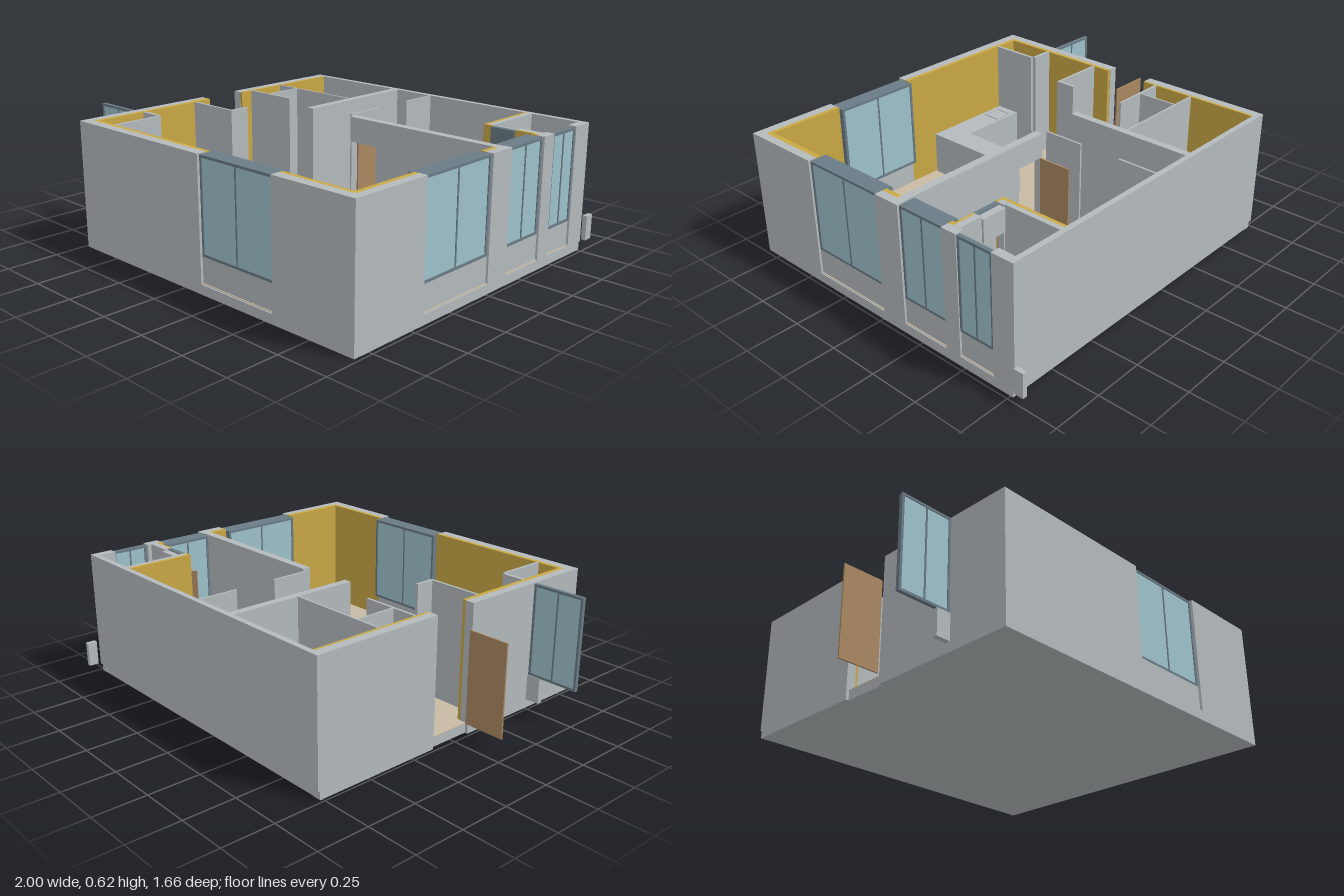
import * as THREE from 'three';

const mat = (name, color) => Object.assign(new THREE.MeshStandardMaterial({ color }), { name });

export function createModel() {
  const root = new THREE.Group();
  root.name = 'apartment';
  const wall = mat('wallGrey', 0xb4babd);
  const floor = mat('floorTan', 0xc8baa4);
  const yellow = mat('wallYellow', 0xc9a845);
  const frame = mat('frameSlate', 0x6b7c86);
  const glass = mat('glassBlue', 0x9ec2cb);
  const wood = mat('doorBrown', 0xa98862);

  const BASE = 0.05, TOP = 0.62, SILL = 0.17, HEAD = 0.615, DOOR = 0.5;

  // Box given by its limits on each axis
  const box = (name, m, x0, x1, y0, y1, z0, z1, parent = root) => {
    const mesh = new THREE.Mesh(new THREE.BoxGeometry(x1 - x0, y1 - y0, z1 - z0), m);
    mesh.position.set((x0 + x1) / 2, (y0 + y1) / 2, (z0 + z1) / 2);
    mesh.name = name;
    parent.add(mesh);
    return mesh;
  };

  // Two-pane window: frame bars, centre bar and panes
  const addWindow = (name, x, z, width, depth, turned) => {
    const g = new THREE.Group();
    g.name = name;
    const w = width / 2, d = depth / 2, t = 0.012;
    box('frameBottom', frame, -w, w, SILL, SILL + t, -d, d, g);
    box('frameTop', frame, -w, w, HEAD - t, HEAD, -d, d, g);
    for (const s of [-1, 1]) {
      const c = s * (w - t / 2);
      box('frameSide', frame, c - t / 2, c + t / 2, SILL + t, HEAD - t, -d, d, g);
      const p = s * w / 2;
      box('pane', glass, p - w / 2 + 0.004, p + w / 2 - 0.004, SILL + t, HEAD - t, -d + 0.004, d - 0.004, g);
    }
    box('frameCentre', frame, -0.004, 0.004, SILL + t, HEAD - t, -d + 0.001, d - 0.001, g);
    g.position.set(x, 0, z);
    if (turned) g.rotation.y = Math.PI / 2;
    root.add(g);
  };

  // Base and floors
  box('baseSlab', wall, -0.72, 0.975, 0, 0.046, -0.76, 0.825);
  box('floor', floor, -0.72, 0.975, 0.046, BASE, -0.76, 0.825);
  box('bathroomFloor', wall, -0.68, -0.175, BASE, 0.056, -0.745, -0.4);
  box('balconyFloor', wall, 0.69, 0.94, BASE, 0.056, -0.745, -0.455);

  // Back and left outer walls, with the entrance gap
  box('backWall', wall, -0.735, 0.98, 0.04, TOP, -0.772, -0.745);
  box('leftWall', wall, -0.735, -0.69, 0, TOP, -0.762, -0.12);
  box('leftWall', wall, -0.735, -0.69, 0, TOP, 0.1, 0.83);

  // Front outer wall around its window
  for (const [x0, x1] of [[-0.735, 0.11], [0.545, 0.98]]) {
    box('frontWall', wall, x0, x1, 0, TOP, 0.785, 0.832);
  }
  box('frontFooting', wall, 0.11, 0.545, 0, 0.046, 0.785, 0.832);
  box('frontSillPanel', wall, 0.11, 0.545, BASE, SILL, 0.765, 0.82);
  addWindow('frontWindow', 0.327, 0.78, 0.435, 0.08, false);

  // Right outer wall around its three windows
  for (const [z0, z1] of [[-0.762, -0.66], [-0.475, -0.395], [-0.145, -0.01], [0.425, 0.785]]) {
    box('rightWall', wall, 0.938, 0.98, 0, TOP, z0, z1);
  }
  for (const [z0, z1, x, depth] of [[-0.01, 0.425, 0.928, 0.083], [-0.395, -0.145, 0.928, 0.083], [-0.66, -0.475, 0.965, 0.02]]) {
    box('rightFooting', wall, 0.938, 0.98, 0, 0.046, z0, z1);
    box('rightSillPanel', wall, 0.925, 0.97, BASE, SILL, z0, z1);
    addWindow('rightWindow', x, (z0 + z1) / 2, z1 - z0, depth, true);
  }

  // Yellow linings
  const lining = (x0, x1, z0, z1) => box('yellowLining', yellow, x0, x1, BASE, TOP, z0, z1);
  lining(-0.692, -0.678, -0.745, -0.19);
  lining(-0.705, -0.678, -0.19, -0.122);
  lining(-0.705, -0.672, 0.102, 0.2);
  lining(-0.692, -0.67, 0.2, 0.785);
  lining(-0.67, 0.11, 0.765, 0.787);
  lining(0.545, 0.938, 0.765, 0.787);
  lining(0.915, 0.94, 0.425, 0.765);
  lining(0.915, 0.94, -0.1, -0.01);
  lining(0.65, 0.667, -0.745, -0.41);
  lining(0.65, 0.695, -0.422, -0.41);
  lining(0.82, 0.94, -0.422, -0.41);
  lining(0.915, 0.94, -0.41, -0.395);

  // Inner walls: x0, x1, z0, z1
  const innerWalls = [
    [-0.678, -0.175, -0.407, -0.397],
    [-0.175, -0.138, -0.745, -0.1],
    [-0.555, -0.545, -0.397, -0.2],
    [-0.678, -0.39, -0.2, -0.188],
    [-0.672, -0.39, 0.192, 0.205],
    [-0.405, -0.39, 0.1, 0.192],
    [-0.67, -0.558, 0.502, 0.52],
    [-0.558, -0.543, 0.52, 0.765],
    [0.074, 0.084, -0.745, -0.55],
    [0.074, 0.084, -0.34, -0.14],
    [0.27, 0.938, -0.14, -0.1],
    [0.667, 0.692, -0.745, -0.422],
    [0.692, 0.697, -0.455, -0.422],
    [0.82, 0.94, -0.455, -0.422],
  ];
  for (const [x0, x1, z0, z1] of innerWalls) box('innerWall', wall, x0, x1, BASE, TOP, z0, z1);
  box('bedroomLintel', wall, 0.11, 0.27, DOOR, TOP, -0.14, -0.1);
  box('bedroomJamb', wall, 0.11, 0.118, BASE, DOOR, -0.14, -0.1);
  box('balconyLintel', wall, 0.697, 0.82, DOOR, TOP - 0.01, -0.465, -0.43);
  box('balconyDoorHead', frame, 0.692, 0.82, DOOR, TOP - 0.004, -0.43, -0.405);

  // Doors standing open
  box('entranceDoor', wood, -0.94, -0.735, 0.055, DOOR, 0.084, 0.092);
  box('bedroomDoor', wood, 0.118, 0.126, 0.055, DOOR, -0.31, -0.14);
  const door = box('balconyDoor', wood, -0.06, 0.06, 0.055, DOOR, -0.004, 0.004);
  door.position.x = 0.777;
  door.position.z = -0.365;
  door.rotation.y = Math.PI / 4;

  // Window and panel projecting from the left wall, and small panel at the back
  addWindow('projectingWindow', -0.868, 0.518, 0.264, 0.018, false);
  box('projectingSillPanel', wall, -0.805, -0.735, 0.045, SILL, 0.505, 0.53);
  box('cornerPanel', wall, 0.978, 1, 0.045, 0.165, -0.833, -0.785);

  // Kitchen counter with sink
  box('counterLeg', wall, -0.178, -0.05, BASE, 0.27, 0.27, 0.63);
  box('counterRun', wall, -0.54, -0.05, BASE, 0.27, 0.625, 0.757);
  for (const [x0, x1, z0, z1] of [[-0.5, -0.4, 0.64, 0.646], [-0.5, -0.4, 0.73, 0.736], [-0.5, -0.494, 0.646, 0.73], [-0.406, -0.4, 0.646, 0.73]]) {
    box('kitchenSinkRim', wall, x0, x1, 0.27, 0.274, z0, z1);
  }

  // Bathroom ledge, basin and toilet
  const round = (name, rTop, rBottom, h, x, y, z, sx, sz) => {
    const m = new THREE.Mesh(new THREE.CylinderGeometry(rTop, rBottom, h, 24), wall);
    m.scale.set(sx, 1, sz);
    m.position.set(x, y, z);
    m.name = name;
    root.add(m);
  };
  box('bathroomLedge', wall, -0.48, -0.187, BASE, 0.28, -0.728, -0.703);
  box('basinTop', wall, -0.46, -0.345, 0.2, 0.24, -0.7, -0.61);
  round('basinStand', 0.02, 0.025, 0.15, -0.403, 0.128, -0.66, 1, 1);
  const rim = new THREE.Mesh(new THREE.TorusGeometry(0.04, 0.003, 6, 24), wall);
  rim.rotation.x = Math.PI / 2;
  rim.scale.y = 0.7;
  rim.position.set(-0.403, 0.24, -0.645);
  rim.name = 'basinRim';
  root.add(rim);
  box('tap', frame, -0.406, -0.4, 0.24, 0.27, -0.7, -0.672);
  round('toiletBowl', 0.04, 0.025, 0.1, -0.265, 0.1, -0.64, 1, 1.4);
  round('toiletSeat', 0.03, 0.03, 0.006, -0.265, 0.153, -0.636, 1, 1.4);
  box('toiletTank', wall, -0.305, -0.225, BASE, 0.23, -0.703, -0.68);

  return root;
}
